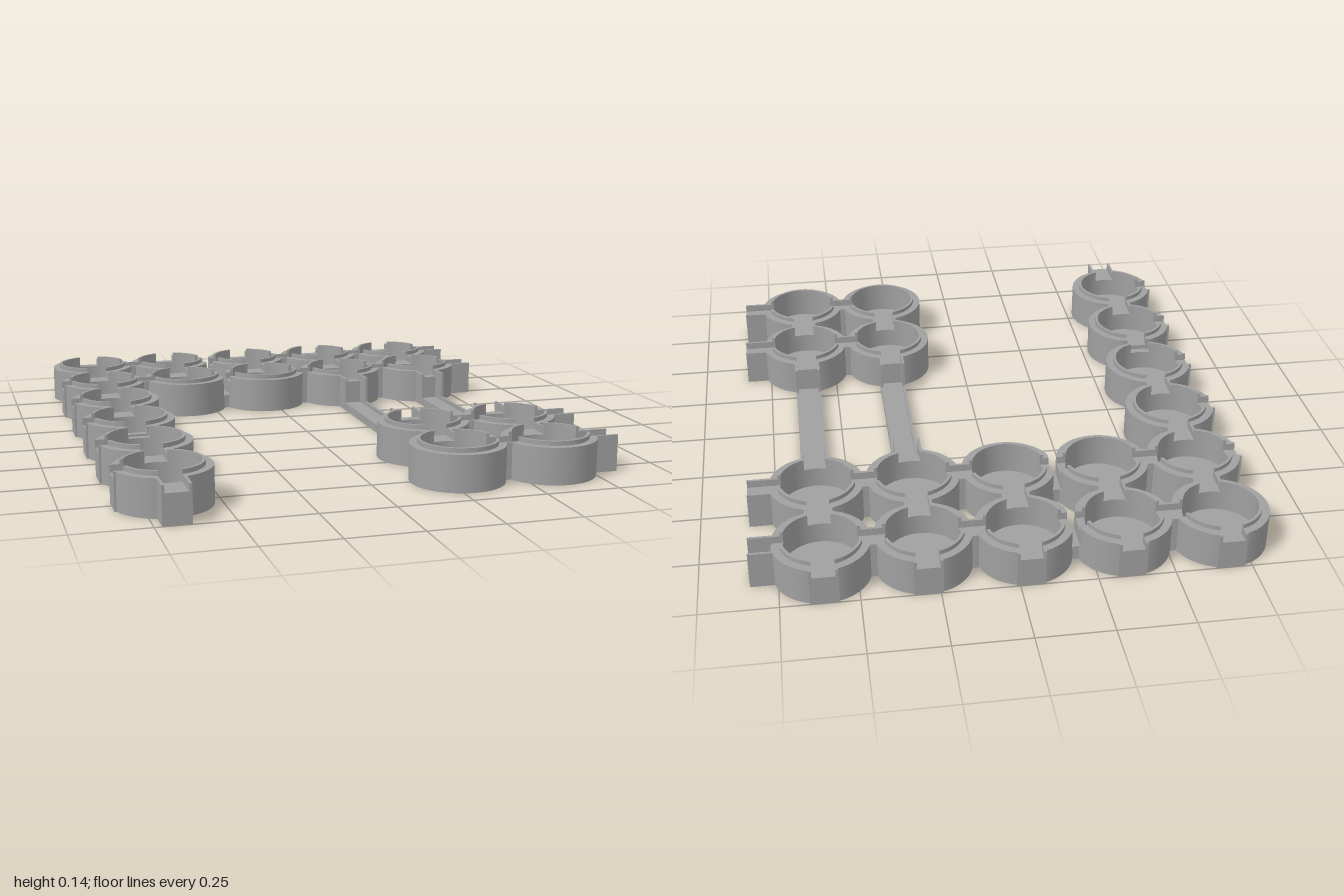
import * as THREE from 'three';
import { toCreasedNormals } from 'three/addons/utils/BufferGeometryUtils.js';

const grey = new THREE.MeshStandardMaterial({ color: 0xa0a0a0 });
grey.name = 'grey plastic';

const R = 0.158, LIP = 0.132, INNER = 0.122;      // cup radii
const FLOOR = 0.03, GROOVE = 0.1, RIM = 0.125, TOP = 0.14, HINGE = 0.05; // heights
const SLOT = 0.037, ARM = 0.046;                  // half widths of groove and arm
const PITCH = 0.322, X0 = -0.68, Z0 = -0.842, CUT = 0.147;
const SOLID_TAB = 0.229;

function add(group, geometry, name) {
  const mesh = new THREE.Mesh(geometry, grey);
  mesh.name = name;
  group.add(mesh);
  return mesh;
}

function box(group, name, x0, x1, y0, y1, z0, z1) {
  add(group, new THREE.BoxGeometry(x1 - x0, y1 - y0, z1 - z0), name)
    .position.set((x0 + x1) / 2, (y0 + y1) / 2, (z0 + z1) / 2);
}

// Points of an arc, flattened on the side facing a hinge cut
function arc(r, a0, a1, cuts) {
  const n = Math.max(4, Math.ceil((a1 - a0) / (Math.PI / 32)));
  return Array.from({ length: n + 1 }, (_, i) => {
    const a = a0 + (a1 - a0) * i / n;
    const p = new THREE.Vector2(r * Math.cos(a), r * Math.sin(a));
    if (cuts.includes(0)) p.x = Math.min(p.x, CUT);
    if (cuts.includes(2)) p.x = Math.max(p.x, -CUT);
    if (cuts.includes(1)) p.y = Math.min(p.y, CUT);
    if (cuts.includes(3)) p.y = Math.max(p.y, -CUT);
    return p;
  });
}

// Ring wall between two heights, interrupted by straight-sided slots
function wall(group, name, r, y0, y1, slots, cuts) {
  const shapes = [];
  if (!slots.length) {
    const s = new THREE.Shape(arc(r, 0, Math.PI * 2, cuts).slice(0, -1));
    s.holes.push(new THREE.Path(arc(INNER, 0, Math.PI * 2, []).slice(0, -1)));
    shapes.push(s);
  }
  slots.forEach((d, i) => {
    const next = i + 1 < slots.length ? slots[i + 1] : slots[0] + 4;
    const a0 = d * Math.PI / 2, a1 = next * Math.PI / 2;
    const o = Math.asin(SLOT / r), n = Math.asin(SLOT / INNER);
    shapes.push(new THREE.Shape([
      ...arc(r, a0 + o, a1 - o, cuts),
      ...arc(INNER, a0 + n, a1 - n, []).reverse(),
    ]));
  });
  const g = new THREE.ExtrudeGeometry(shapes, { depth: y1 - y0, bevelEnabled: false });
  g.rotateX(Math.PI / 2).translate(0, y1, 0);
  add(group, toCreasedNormals(g, 0.5), name);
}

// Grooved arm reaching out of a cup along +x, turned by quarter turns
function arm(cup, dir, type) {
  const g = new THREE.Group();
  g.name = type + 'Arm';
  g.rotation.y = -dir * Math.PI / 2;
  const end = { link: PITCH / 2, hinge: CUT, nub: R, tab: SOLID_TAB, hollow: SOLID_TAB }[type];
  const hollow = type === 'hollow';
  const base = hollow ? FLOOR : GROOVE;
  box(g, 'armBase', 0.14, end, 0, base, -ARM, ARM);
  for (const s of [-1, 1]) {
    const c = s * (SLOT + ARM) / 2, h = (ARM - SLOT) / 2;
    box(g, 'armSide', 0.14, end, base, RIM, c - h, c + h);
  }
  if (type === 'hinge') box(g, 'hingeWeb', CUT, PITCH / 2, 0, HINGE, -ARM, ARM);
  cup.add(g);
}

// Cup with arms given as { direction: type }; 0 = +x, 1 = +z, 2 = -x, 3 = -z
function makeCup(x, z, arms) {
  const cup = new THREE.Group();
  cup.name = 'cup';
  cup.position.set(x, 0, z);
  const slots = Object.keys(arms).map(Number).sort();
  const cuts = slots.filter(d => arms[d] === 'hinge');
  add(cup, new THREE.CylinderGeometry(R, R, FLOOR, 64), 'cupFloor').position.y = FLOOR / 2;
  wall(cup, 'lowerWall', R, FLOOR, HINGE, [], []);
  wall(cup, 'middleWall', R, HINGE, GROOVE, [], cuts);
  wall(cup, 'upperWall', R, GROOVE, RIM, slots, cuts);
  wall(cup, 'lip', LIP, RIM, TOP, slots, []);
  for (const d of slots) arm(cup, d, arms[d]);
  return cup;
}

// Long low channel with tall end cheeks, running along z
function makeRail(x, z0, z1) {
  const rail = new THREE.Group();
  rail.name = 'longChannel';
  rail.position.x = x;
  box(rail, 'channelFloor', -ARM, ARM, 0, 0.015, z0, z1);
  for (const s of [-1, 1]) {
    const c = s * (SLOT + ARM) / 2, h = (ARM - SLOT) / 2;
    box(rail, 'channelSide', c - h, c + h, 0.015, FLOOR, z0, z1);
    box(rail, 'rearCheek', c - h, c + h, FLOOR, RIM, z0, -0.295);
    box(rail, 'frontCheek', c - h, c + h, FLOOR, RIM, 0.235, z1);
  }
  return rail;
}

export function createModel() {
  const model = new THREE.Group();
  model.name = 'cupTray';
  const layout = ['#####', '#####', '#....', '#....', '#..##', '#..##'];
  const has = (i, j) => layout[j] !== undefined && layout[j][i] === '#';
  layout.forEach((row, j) => {
    for (let i = 0; i < 5; i++) {
      if (!has(i, j)) continue;
      const arms = {};
      // joints to neighbouring cups
      if (has(i + 1, j)) arms[0] = i === 1 ? 'hinge' : 'link';
      if (has(i, j + 1)) arms[1] = j === 3 ? 'hinge' : 'link';
      if (has(i - 1, j)) arms[2] = i === 2 ? 'hinge' : 'link';
      if (has(i, j - 1)) arms[3] = j === 4 ? 'hinge' : 'link';
      // the two square-block columns have no hinge, only the long channels
      if (i >= 3 && j === 1) arms[1] = 'nub';
      if (i >= 3 && j === 4) arms[3] = 'nub';
      // outer openings and tabs
      if (i === 0 && j > 0) arms[2] = 'nub';
      if (j === 0) arms[3] = 'nub';
      if (i === 4) arms[0] = j === 0 ? 'hollow' : 'tab';
      if (i === 0 && j === 5) arms[1] = 'tab';
      model.add(makeCup(X0 + i * 0.3225, Z0 + j * PITCH, arms));
    }
  });
  for (const i of [3, 4]) {
    model.add(makeRail(X0 + i * 0.3225, Z0 + PITCH + 0.15, Z0 + 4 * PITCH - 0.15));
  }
  return model;
}
